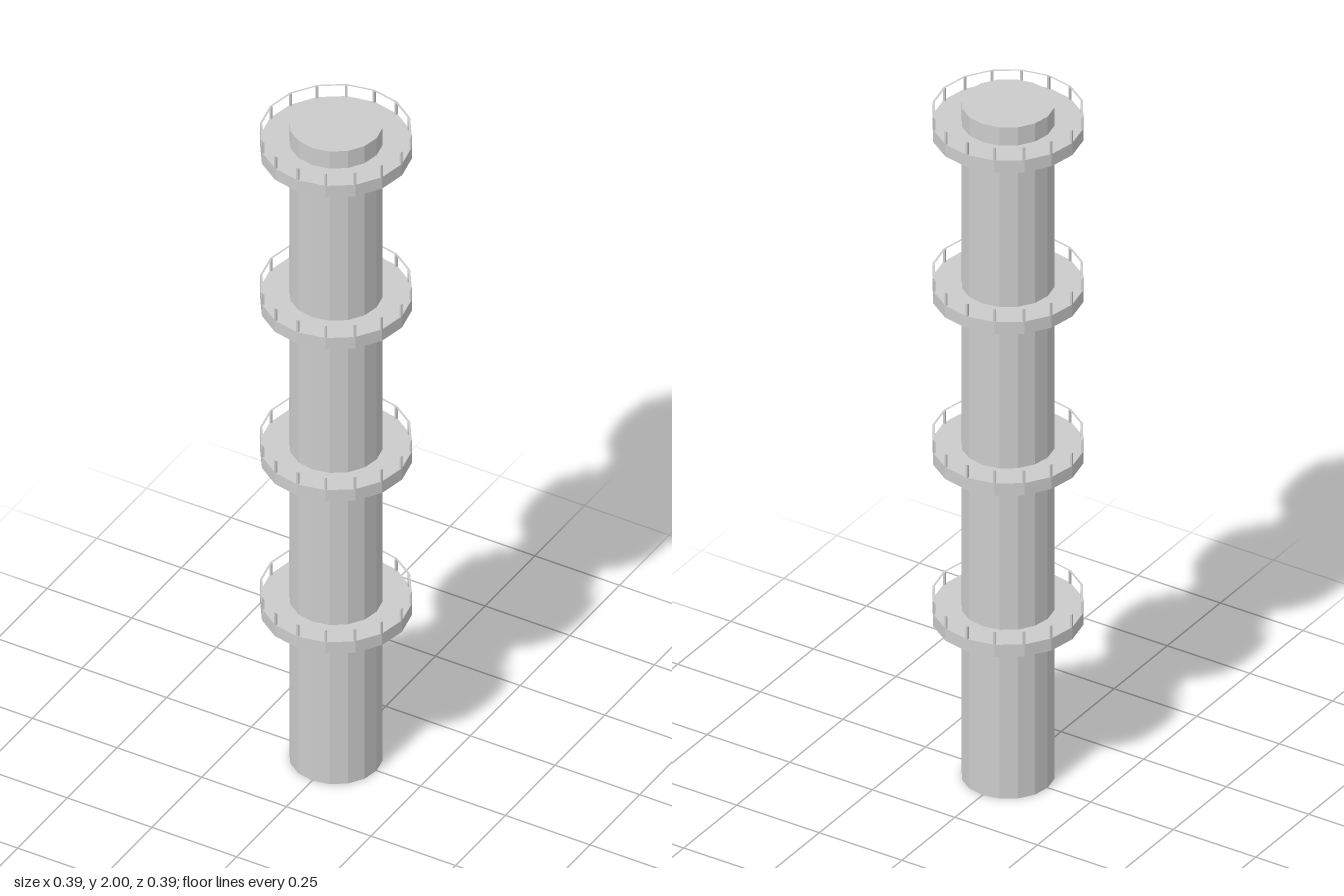
import * as THREE from 'three';

const SIDES = 16;
const COLUMN_R = 0.12;
const DECK_R = 0.195;
const DECK_H = 0.036;
const POST_H = 0.038;

const grey = new THREE.MeshStandardMaterial({ color: 0xcccccc, flatShading: true });
const thin = new THREE.MeshStandardMaterial({ color: 0xcccccc, flatShading: true, side: THREE.DoubleSide });

function part(name, geometry, material = grey) {
  const mesh = new THREE.Mesh(geometry, material);
  mesh.name = name;
  return mesh;
}

// Round deck with posts at its corners and a flat handrail
function createPlatform() {
  const platform = new THREE.Group();

  const deck = part('deck', new THREE.CylinderGeometry(DECK_R, DECK_R, DECK_H, SIDES));
  deck.position.y = DECK_H / 2;
  platform.add(deck);

  const postGeometry = new THREE.BoxGeometry(0.006, POST_H, 0.006);
  for (let i = 0; i < SIDES; i++) {
    const a = (i / SIDES) * Math.PI * 2;
    const post = part('railPost', postGeometry);
    post.position.set(Math.sin(a) * 0.192, DECK_H + POST_H / 2, Math.cos(a) * 0.192);
    post.rotation.y = a;
    platform.add(post);
  }

  const rail = part('handrail', new THREE.RingGeometry(0.189, DECK_R, SIDES).rotateX(-Math.PI / 2), thin);
  rail.position.y = DECK_H + POST_H + 0.0005;
  platform.add(rail);
  return platform;
}

export function createModel() {
  const model = new THREE.Group();
  model.name = 'chimneyTower';

  // Faceted main shaft
  const column = part('column', new THREE.CylinderGeometry(COLUMN_R, COLUMN_R, 2, SIDES));
  column.position.y = 1;
  model.add(column);

  // Four evenly spaced walkways
  for (let i = 0; i < 4; i++) {
    const platform = createPlatform();
    platform.name = `platform${i + 1}`;
    platform.position.y = 0.467 + i * 0.481;
    model.add(platform);
  }
  return model;
}
